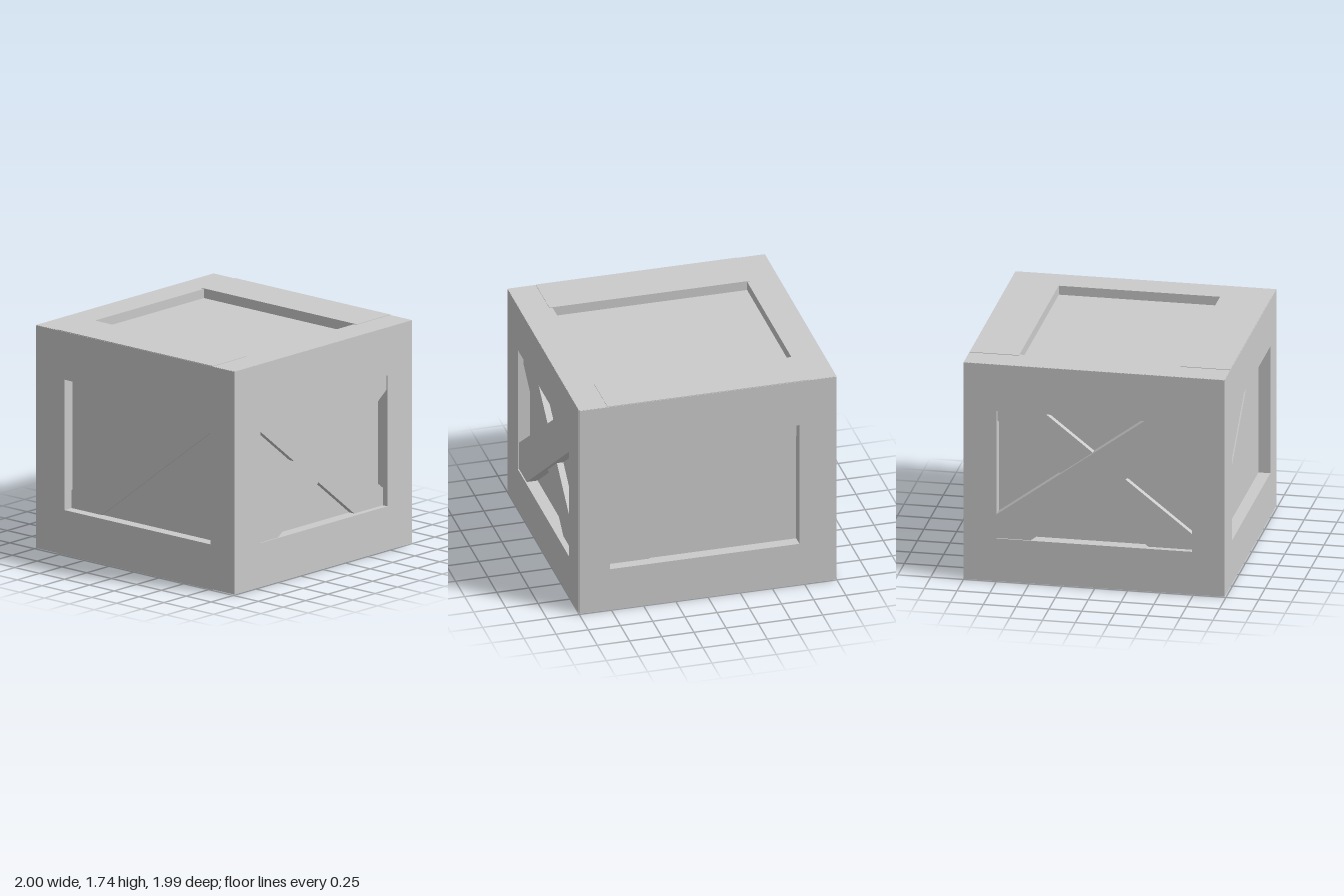
import * as THREE from 'three';

const H = 1.735;

export function createModel() {
  const crate = new THREE.Group();
  crate.name = 'crate';
  const material = new THREE.MeshStandardMaterial({ color: 0xcccccc, flatShading: true });

  // Box given by its minimum and maximum corners
  function box(parent, name, a, b) {
    const mesh = new THREE.Mesh(new THREE.BoxGeometry(b[0] - a[0], b[1] - a[1], b[2] - a[2]), material);
    mesh.position.set((a[0] + b[0]) / 2, (a[1] + b[1]) / 2, (a[2] + b[2]) / 2);
    mesh.name = name;
    parent.add(mesh);
  }

  // Diagonal board trimmed to the opening, between two depths
  function brace(parent, name, points, back, front) {
    const shape = new THREE.Shape(points.map(([x, y]) => new THREE.Vector2(x, y)));
    const geometry = new THREE.ExtrudeGeometry(shape, { depth: front - back, bevelEnabled: false });
    geometry.translate(0, 0, back);
    const mesh = new THREE.Mesh(geometry, material);
    mesh.name = name;
    parent.add(mesh);
  }

  // One upright face: stiles and rails round an opening, built facing +z
  function wall(name, angle, half, face, left, right, bottom = 0.35, top = 1.36) {
    const group = new THREE.Group();
    group.name = name;
    group.rotation.y = angle;
    const back = face - 0.12;
    box(group, 'leftStile', [-half, 0.005, back], [left, H - 0.005, face]);
    box(group, 'rightStile', [right, 0.005, back], [half, H - 0.005, face]);
    box(group, 'bottomRail', [left, 0.005, back], [right, bottom, face]);
    box(group, 'topRail', [left, top, back], [right, H - 0.005, face]);
    crate.add(group);
    return group;
  }

  // Closed inner box forming the recessed panels
  box(crate, 'innerPanels', [-0.905, 0.04, -0.91], [0.905, 1.66, 0.9]);

  // Front and back, each with one shallow diagonal board
  for (const [name, angle, face, l, r, shift] of [
    ['frontWall', 0, 0.99, -0.71, 0.76, 0],
    ['backWall', Math.PI, 1, -0.76, 0.71, -0.03],
  ]) {
    const group = wall(name, angle, 0.997, face, l, r);
    const line = (x, c) => c + 0.765 * (x - shift);
    const atY = (y, c) => (y - c) / 0.765 + shift;
    const up = 1.033, low = 0.66;
    brace(group, 'diagonalBoard', [
      [l, 0.35], [atY(0.35, low), 0.35], [r, line(r, low)],
      [r, 1.36], [atY(1.36, up), 1.36], [l, line(l, up)],
    ], face - 0.1, face - 0.08);
  }

  // Sides, each with two crossing boards at different depths
  for (const [name, angle, l, r] of [
    ['rightWall', Math.PI / 2, -0.70, 0.72],
    ['leftWall', -Math.PI / 2, -0.75, 0.74],
  ]) {
    const group = wall(name, angle, 0.985, 1, l, r, 0.345);
    brace(group, 'outerDiagonalBoard', [
      [l, 0.345], [-0.49, 0.345], [r, 1.245 + 0.74 * (r - 0.72)],
      [r, 1.36], [0.38, 1.36], [l, 0.57 + 0.74 * (l + 0.7)],
    ], 0.9, 0.99);
    brace(group, 'innerDiagonalBoard', [
      [0.40, 0.345], [r, 0.345], [r, 0.48 - 0.78 * (r - 0.72)],
      [-0.40, 1.36], [l, 1.36], [l, 1.23 - 0.8 * (l + 0.7)],
    ], 0.9, 0.955);
  }

  // Rails framing the recessed lid and floor
  for (const [name, y0, y1, step] of [['lid', H - 0.1, H, -0.004], ['floor', 0, 0.1, 0.004]]) {
    const group = new THREE.Group();
    group.name = name + 'Frame';
    const low = y0 + Math.max(step, 0), high = y1 + Math.min(step, 0);
    box(group, name + 'LeftRail', [0.755, low, -0.995], [0.998, high, 0.985]);
    box(group, name + 'RightRail', [-0.998, low, -0.995], [-0.755, high, 0.985]);
    box(group, name + 'FrontRail', [-0.78, y0, 0.61], [0.78, y1, 0.987]);
    box(group, name + 'BackRail', [-0.78, y0, -0.997], [0.78, y1, -0.62]);
    crate.add(group);
  }

  return crate;
}
